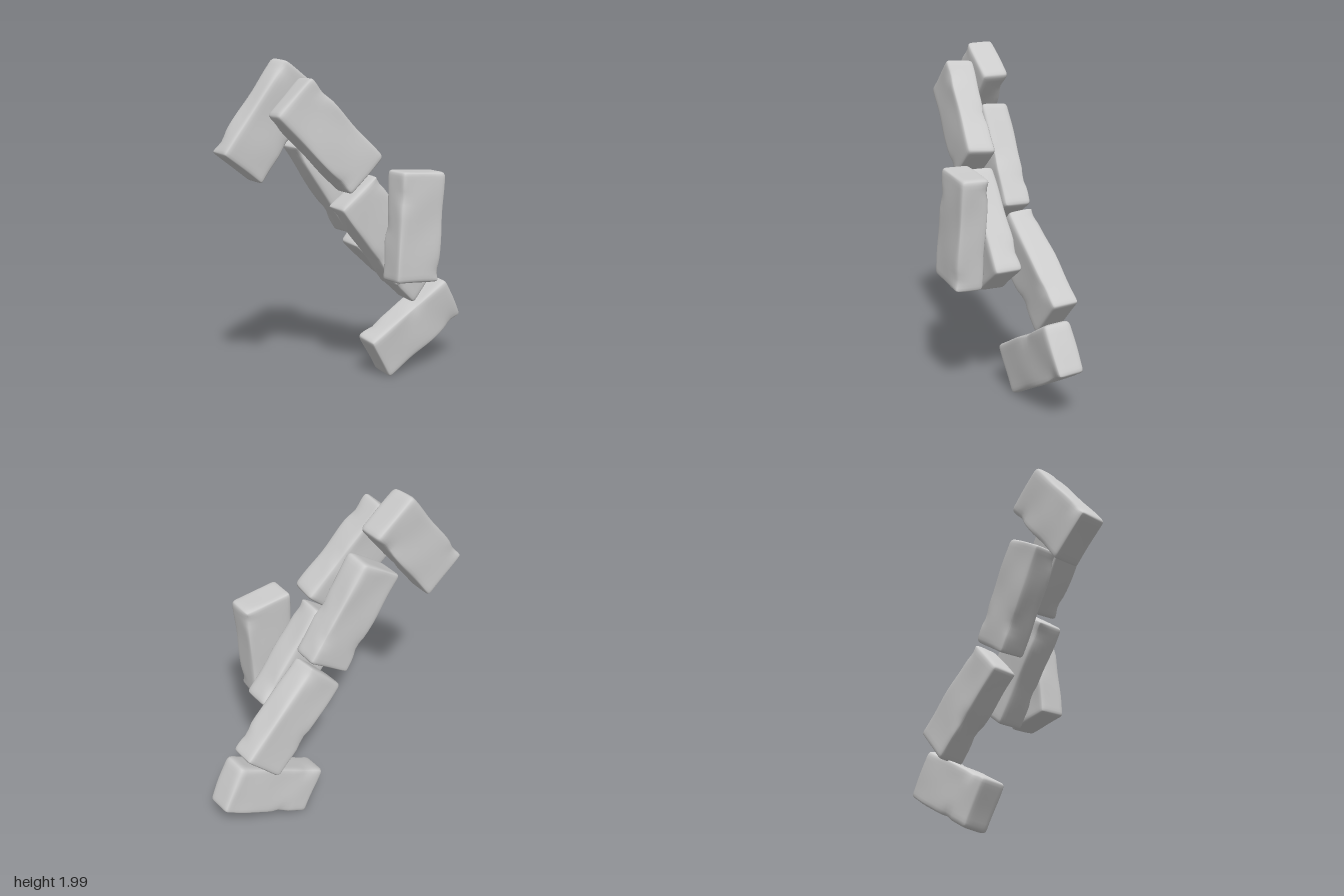
import * as THREE from 'three';
import { mergeVertices } from 'three/addons/utils/BufferGeometryUtils.js';

const LENGTH = 0.65, WIDTH = 0.305, DEPTH = 0.172;

// Smooth, repeatable bumps in the range -1..1
function bumps(p, seed) {
  return (Math.sin(p.x * 13 + seed * 2.1 + 2 * Math.sin(p.y * 9 + seed)) +
    Math.sin(p.y * 17 - p.x * 7 + seed * 1.3) +
    Math.sin(p.z * 15 + p.x * 19 + p.y * 8 + seed * 3.7)) / 3;
}

// A worn brick: box with uneven rounded edges, shallow dents and chipped edges
function brickGeometry(seed) {
  const box = new THREE.BoxGeometry(2, 2, 2, 22, 14, 10);
  box.deleteAttribute('normal');
  box.deleteAttribute('uv');
  const geometry = mergeVertices(box);
  const half = new THREE.Vector3(LENGTH, WIDTH, DEPTH).multiplyScalar(0.5);
  const pos = geometry.attributes.position;
  const p = new THREE.Vector3(), inner = new THREE.Vector3(), out = new THREE.Vector3();

  // Chips sit on the long edges and bite towards the middle
  const chips = [0, 1, 2, 3].map((i) => new THREE.Vector3(
    Math.sin(seed * 2.3 + i * 1.9) * half.x * 0.85,
    (i & 1 ? 1 : -1) * half.y,
    (i & 2 ? 1 : -1) * half.z));

  for (let i = 0; i < pos.count; i++) {
    p.fromBufferAttribute(pos, i);
    // Crowd the grid lines towards the edges
    p.set(...p.toArray().map((t) => Math.sin(t * Math.PI / 2))).multiply(half);
    const radius = 0.027 + 0.009 * bumps(p, seed + 4);
    inner.copy(half).subScalar(radius);
    out.copy(p);
    inner.set(
      THREE.MathUtils.clamp(p.x, -inner.x, inner.x),
      THREE.MathUtils.clamp(p.y, -inner.y, inner.y),
      THREE.MathUtils.clamp(p.z, -inner.z, inner.z));
    out.sub(inner).normalize();
    const dent = 0.004 * (bumps(p, seed) - 0.5);
    let bite = 0;
    for (const c of chips) bite += 0.013 * Math.exp(-p.distanceToSquared(c) / 0.0022);
    p.copy(inner).addScaledVector(out, radius + dent - bite);
    pos.setXYZ(i, p.x, p.y, p.z);
  }
  geometry.computeVertexNormals();
  return geometry;
}

// Each brick: name, centre, turn in the front plane, tilt of the long axis, roll (degrees)
const BRICKS = [
  ['topBackBrick', [-0.51, 1.66, -0.21], 52, 0, 1],
  ['topFrontBrick', [-0.245, 1.57, -0.015], -47, -5, 0],
  ['upperBackBrick', [-0.1, 1.32, -0.17], -57, -1.5, 0],
  ['lowerBackBrick', [0.33, 0.78, -0.193], -43, 4, 0],
  ['middleBrick', [0.11, 0.99, 0.008], -53, 0, 0],
  ['frontBrick', [0.213, 1.04, 0.206], 85, 2, 0],
  ['bottomBrick', [0.465, 0.292, -0.165], 29.5, 0, 4],
];

export function createModel() {
  const model = new THREE.Group();
  model.name = 'brickPile';
  const material = new THREE.MeshStandardMaterial({ color: 0xcccccc });
  const rad = THREE.MathUtils.degToRad;
  BRICKS.forEach(([name, centre, turn, tilt, roll], i) => {
    const brick = new THREE.Mesh(brickGeometry(i + 1), material);
    brick.name = name;
    brick.position.set(...centre);
    brick.rotation.set(rad(roll), rad(tilt), rad(turn), 'ZYX');
    model.add(brick);
  });
  return model;
}
